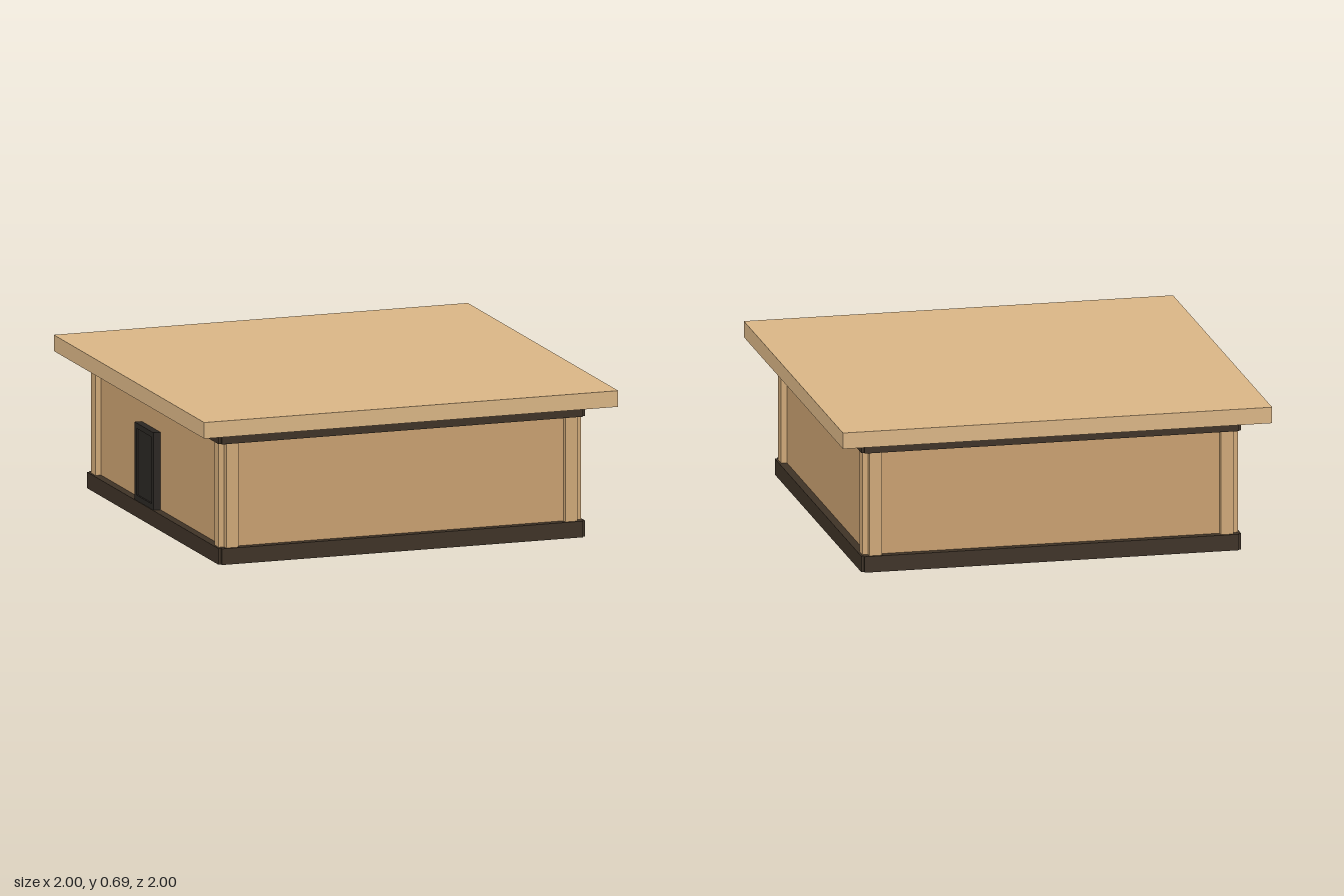
import * as THREE from 'three';

const material = (color) => new THREE.MeshStandardMaterial({ color });
const roofMat = material(0xd9b585);
const wallMat = material(0xc9a070);
const postMat = material(0xcfa878);
const trimMat = material(0x3e3226);
const doorMat = material(0x2a2622);

const toPoints = (list) => list.map(([x, y]) => new THREE.Vector2(x, y));
const rectangle = (w, h) => toPoints([[-w, -h], [w, -h], [w, h], [-w, h]]);

// Square outline of half size a whose corners step in to half size b
function notchedSquare(a, b) {
  return toPoints([
    [-b, -a], [b, -a], [b, -b], [a, -b], [a, b], [b, b],
    [b, a], [-b, a], [-b, b], [-a, b], [-a, -b], [-b, -b],
  ]);
}

// Extrudes a plan outline upward from y0 to y1
function extrudePlan(name, outline, hole, y0, y1, mat) {
  const shape = new THREE.Shape(outline);
  if (hole) shape.holes.push(new THREE.Path(hole));
  const geo = new THREE.ExtrudeGeometry(shape, { depth: y1 - y0, bevelEnabled: false });
  geo.rotateX(-Math.PI / 2);
  geo.translate(0, y0, 0);
  const mesh = new THREE.Mesh(geo, mat);
  mesh.name = name;
  return mesh;
}

export function createModel() {
  const model = new THREE.Group();
  model.name = 'house';

  // Base and top trim rings with stepped corners, open in the middle
  const trimOutline = notchedSquare(0.885, 0.872);
  const trimHole = rectangle(0.742, 0.742);
  model.add(extrudePlan('baseTrim', trimOutline, trimHole, 0, 0.075, trimMat));
  model.add(extrudePlan('topTrim', trimOutline, trimHole, 0.56, 0.62, trimMat));

  // Four walls as one hollow square
  model.add(extrudePlan('walls', rectangle(0.848, 0.848), rectangle(0.79, 0.79), 0.07, 0.565, wallMat));

  // Stepped corner posts
  const postOutline = toPoints([
    [0.79, 0.79], [0.875, 0.79], [0.875, 0.848], [0.848, 0.848], [0.848, 0.875], [0.79, 0.875],
  ]);
  for (let i = 0; i < 4; i++) {
    const post = extrudePlan('cornerPost', postOutline, null, 0.07, 0.565, postMat);
    post.rotation.y = (i * Math.PI) / 2;
    model.add(post);
  }

  // Flat overhanging roof
  const roof = new THREE.Mesh(new THREE.BoxGeometry(2, 0.075, 2), roofMat);
  roof.name = 'roof';
  roof.position.y = 0.6575;
  model.add(roof);

  // Door set through the right wall: a deep frame around a slightly thinner panel
  const door = new THREE.Group();
  door.name = 'door';
  const frameShape = new THREE.Shape(rectangle(0.125, 0.18));
  frameShape.holes.push(new THREE.Path(rectangle(0.1, 0.155)));
  const frameGeo = new THREE.ExtrudeGeometry(frameShape, { depth: 0.152, bevelEnabled: false });
  frameGeo.translate(0, 0, -0.076);
  const frame = new THREE.Mesh(frameGeo, doorMat);
  frame.name = 'doorFrame';
  const panel = new THREE.Mesh(new THREE.BoxGeometry(0.2, 0.31, 0.136), doorMat);
  panel.name = 'doorPanel';
  door.add(frame, panel);
  door.rotation.y = -Math.PI / 2;
  door.position.set(-0.806, 0.255, -0.125);
  model.add(door);

  return model;
}
